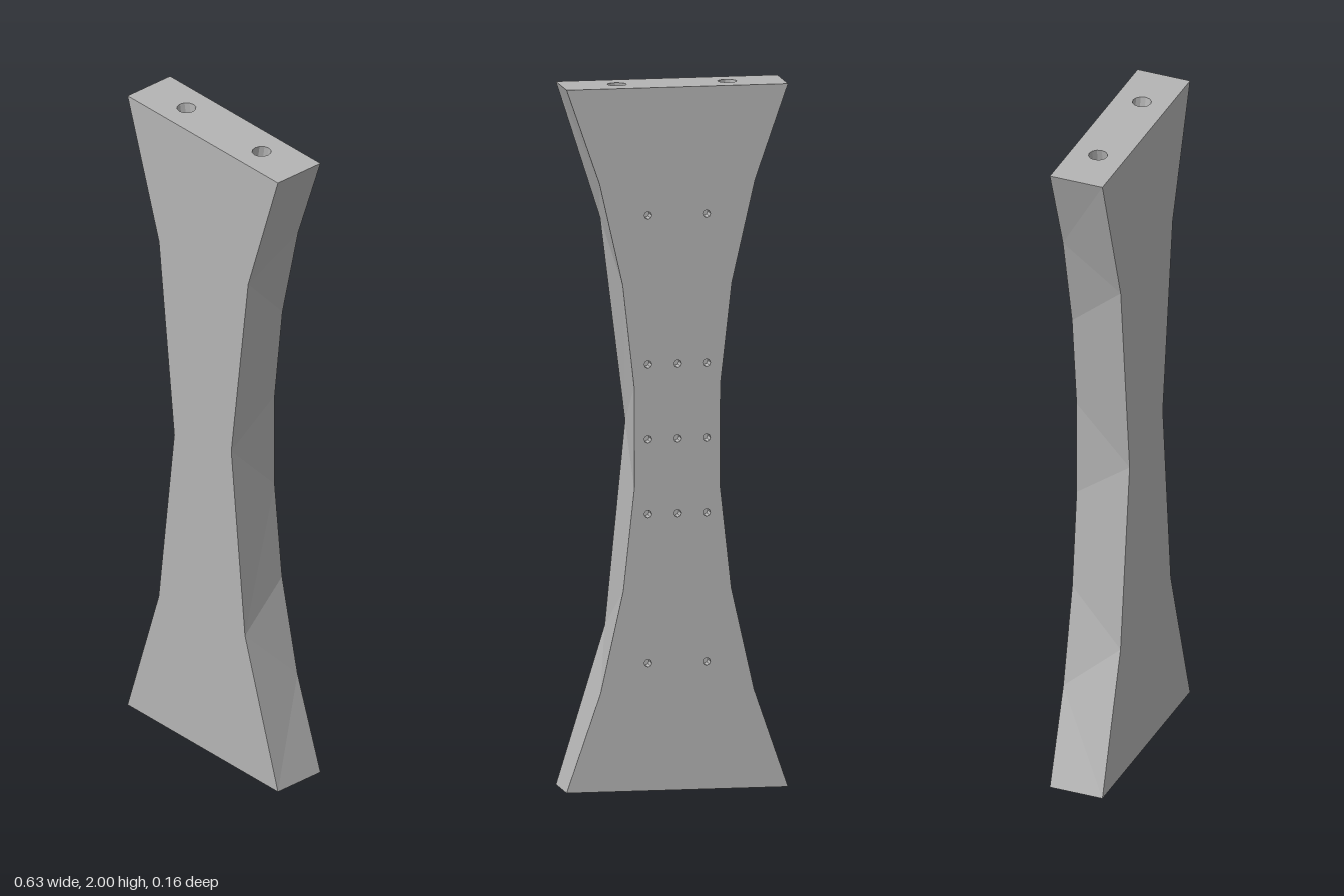
import * as THREE from 'three';

const HALF_DEPTH = 0.08, RADIUS = 2.636, WAIST = 0.12;
const ROD_RADIUS = 0.027, PIN_RADIUS = 0.011, PIN_DEPTH = 0.04;

// Half width of the waisted plate at height y (a circular arc)
const halfWidth = (y) => WAIST + RADIUS - Math.sqrt(RADIUS ** 2 - (y - 1) ** 2);

// Heights of the arc's corners, from top to bottom
const backYs = [2, 1.73, 1.44, 1.15, 0.86, 0.57, 0.28, 0];
const frontLeftYs = [2, 1.61, 1.03, 0.45, 0];
const frontRightYs = [2, 1.58, 0.975, 0.415, 0];

const edge = (ys, side) => ys.map((y) => new THREE.Vector2(side * halfWidth(y), y));

// Closed outline: down the -x edge, up the +x edge
const outline = (leftYs, rightYs) =>
  new THREE.Shape([...edge(rightYs, -1), ...edge(leftYs, 1).reverse()]);

function addHole(shape, x, y, radius, sides) {
  const points = [];
  for (let i = 0; i < sides; i++) {
    const a = (i / sides) * Math.PI * 2;
    points.push(new THREE.Vector2(x + radius * Math.sin(a), y + radius * Math.cos(a)));
  }
  shape.holes.push(new THREE.Path(points));
}

// Faceted side wall joining the coarse front edge to the finer back edge
function sideWall(frontYs, side) {
  const positions = [];
  const corner = (y, z) => [side * halfWidth(y), y, z];
  const triangle = (a, b, c) => positions.push(...a, ...(side > 0 ? b : c), ...(side > 0 ? c : b));
  let i = 0, j = 0;
  while (i < frontYs.length - 1 || j < backYs.length - 1) {
    const f = corner(frontYs[i], HALF_DEPTH), b = corner(backYs[j], -HALF_DEPTH);
    const frontGap = i + 1 < frontYs.length ? Math.abs(frontYs[i + 1] - backYs[j]) : Infinity;
    const backGap = j + 1 < backYs.length ? Math.abs(frontYs[i] - backYs[j + 1]) : Infinity;
    if (frontGap < backGap) triangle(f, corner(frontYs[++i], HALF_DEPTH), b);
    else triangle(f, corner(backYs[++j], -HALF_DEPTH), b);
  }
  const geometry = new THREE.BufferGeometry();
  geometry.setAttribute('position', new THREE.Float32BufferAttribute(positions, 3));
  geometry.computeVertexNormals();
  return geometry;
}

// Open cylinder whose faces point inwards
function bore(radius, length, sides, segments = 1) {
  return new THREE.CylinderGeometry(radius, radius, length, sides, segments, true)
    .toNonIndexed().scale(-1, 1, 1);
}

export function createModel() {
  const model = new THREE.Group();
  const grey = new THREE.MeshStandardMaterial({ color: 0xb4b4b4 });
  const add = (name, geometry, parent = model) => {
    const mesh = new THREE.Mesh(geometry, grey);
    mesh.name = name;
    parent.add(mesh);
    return mesh;
  };

  // Plain front face and side walls
  add('frontFace', new THREE.ShapeGeometry(outline(frontLeftYs, frontRightYs)).translate(0, 0, HALF_DEPTH));
  add('leftWall', sideWall(frontLeftYs, 1));
  add('rightWall', sideWall(frontRightYs, -1));

  // Back face with rows of blind pin holes
  const back = outline(backYs, backYs);
  const pinHoles = new THREE.Group();
  pinHoles.name = 'pinHoles';
  model.add(pinHoles);
  for (const y of [0.363, 0.787, 1, 1.213, 1.637]) {
    const xs = Math.abs(y - 1) > 0.5 ? [-0.085, 0.085] : [-0.085, 0, 0.085];
    for (const x of xs) {
      addHole(back, -x, y, PIN_RADIUS, 8);
      const wall = bore(PIN_RADIUS, PIN_DEPTH, 8).rotateX(Math.PI / 2);
      wall.computeVertexNormals();
      add('pinHoleWall', wall, pinHoles).position.set(x, y, -HALF_DEPTH + PIN_DEPTH / 2);
      const floor = new THREE.CircleGeometry(PIN_RADIUS, 8).rotateY(Math.PI);
      add('pinHoleFloor', floor, pinHoles).position.set(x, y, -HALF_DEPTH + PIN_DEPTH);
    }
  }
  add('backFace', new THREE.ShapeGeometry(back).rotateY(Math.PI).translate(0, 0, -HALF_DEPTH));

  // End faces, each with two rod holes
  const w = halfWidth(2), d = HALF_DEPTH;
  const end = new THREE.Shape([[-w, -d], [w, -d], [w, d], [-w, d]].map((p) => new THREE.Vector2(...p)));
  for (const side of [-1, 1]) addHole(end, side * w / 2, 0, ROD_RADIUS, 12);
  add('topFace', new THREE.ShapeGeometry(end).rotateX(-Math.PI / 2).translate(0, 2, 0));
  add('bottomFace', new THREE.ShapeGeometry(end).rotateX(Math.PI / 2));

  // Curved rod channels running midway between the centre line and the side walls
  for (const side of [-1, 1]) {
    const channel = bore(ROD_RADIUS, 2, 12, 8).translate(0, 1, 0);
    const p = channel.attributes.position;
    for (let i = 0; i < p.count; i++) p.setX(i, p.getX(i) + side * halfWidth(p.getY(i)) / 2);
    channel.computeVertexNormals();
    add(side > 0 ? 'leftRodChannel' : 'rightRodChannel', channel);
  }
  return model;
}
